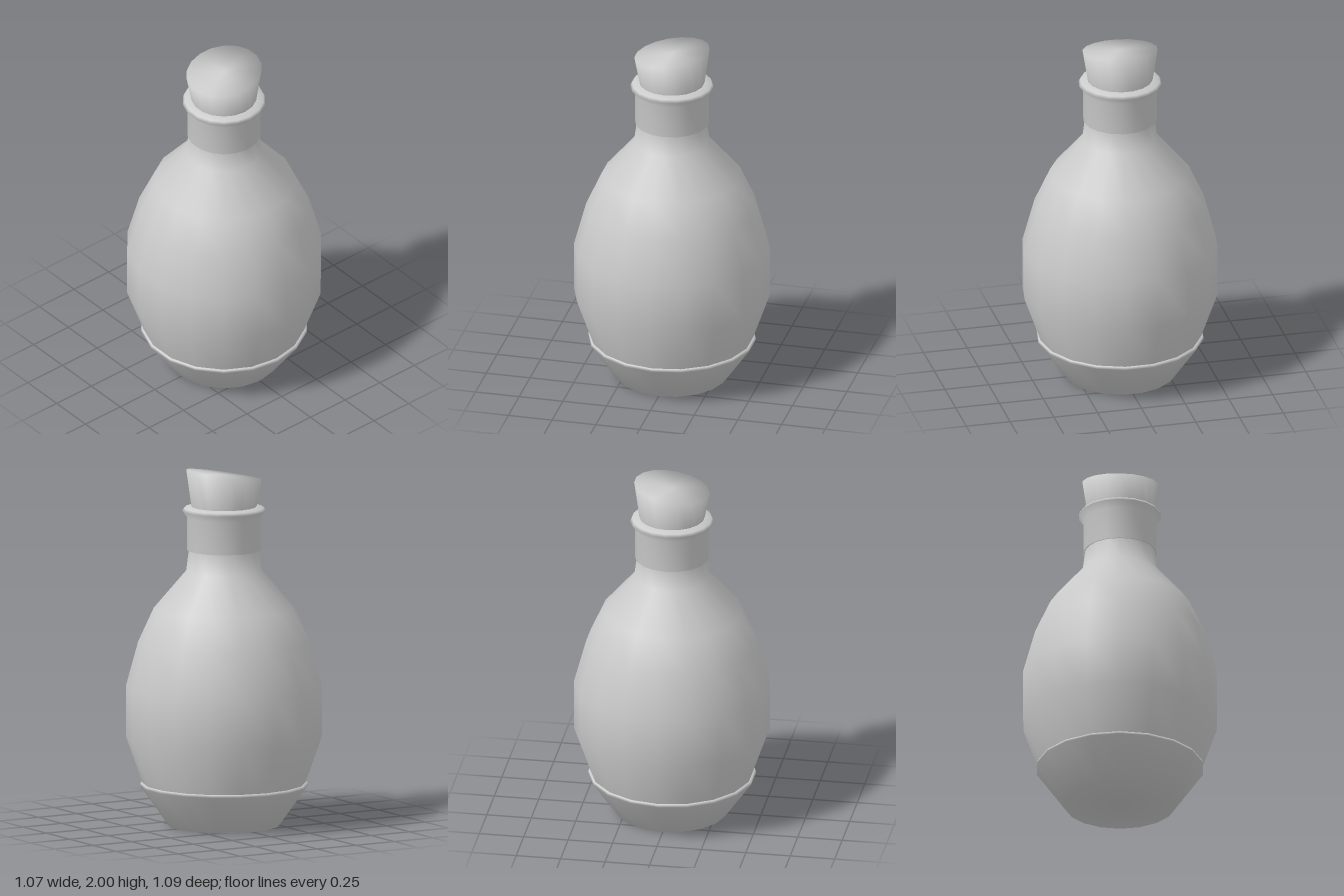
import * as THREE from 'three';
import { mergeVertices } from 'three/addons/utils/BufferGeometryUtils.js';

const SIDES = 18;
const material = new THREE.MeshStandardMaterial({ color: 0xcccccc, side: THREE.DoubleSide });

// Turned part from [radius, height] pairs, bottom to top, with an optional vertex rule
function turned(name, profile, rule) {
  let geometry = new THREE.LatheGeometry(profile.map(([r, y]) => new THREE.Vector2(r, y)), SIDES);
  if (rule) {
    const pos = geometry.attributes.position;
    for (let i = 0; i < pos.count; i++) pos.setY(i, rule(pos.getX(i), pos.getY(i)));
  }
  // Weld the seam so the shading runs smoothly all round
  geometry.deleteAttribute('normal');
  geometry.deleteAttribute('uv');
  geometry = mergeVertices(geometry, 1e-4);
  geometry.computeVertexNormals();
  const mesh = new THREE.Mesh(geometry, material);
  mesh.name = name;
  return mesh;
}

export function createModel() {
  const bottle = new THREE.Group();
  bottle.name = 'bottle';

  // Egg-shaped body running up into a narrow neck
  bottle.add(turned('body', [
    [0.45, 0.23], [0.545, 0.5], [0.545, 0.78], [0.477, 1.03],
    [0.39, 1.22], [0.21, 1.43], [0.193, 1.56],
  ]));

  // Cup-shaped base with a thin lip around the body
  bottle.add(turned('base', [[0, 0], [0.31, 0], [0.467, 0.222], [0.463, 0.237], [0.445, 0.237]]));

  // Neck collar with a flared rim
  bottle.add(turned('collar', [
    [0.19, 1.545], [0.206, 1.545], [0.206, 1.73], [0.232, 1.765], [0.222, 1.782], [0.18, 1.79],
  ]));

  // Tapered stopper, its top cut on a slant rising towards +x
  const slant = (x, y) => (y > 1.9 ? y + x * 0.16 : y);
  bottle.add(turned('stopper', [[0.177, 1.76], [0.21, 1.967], [0, 1.967]], slant));

  return bottle;
}
